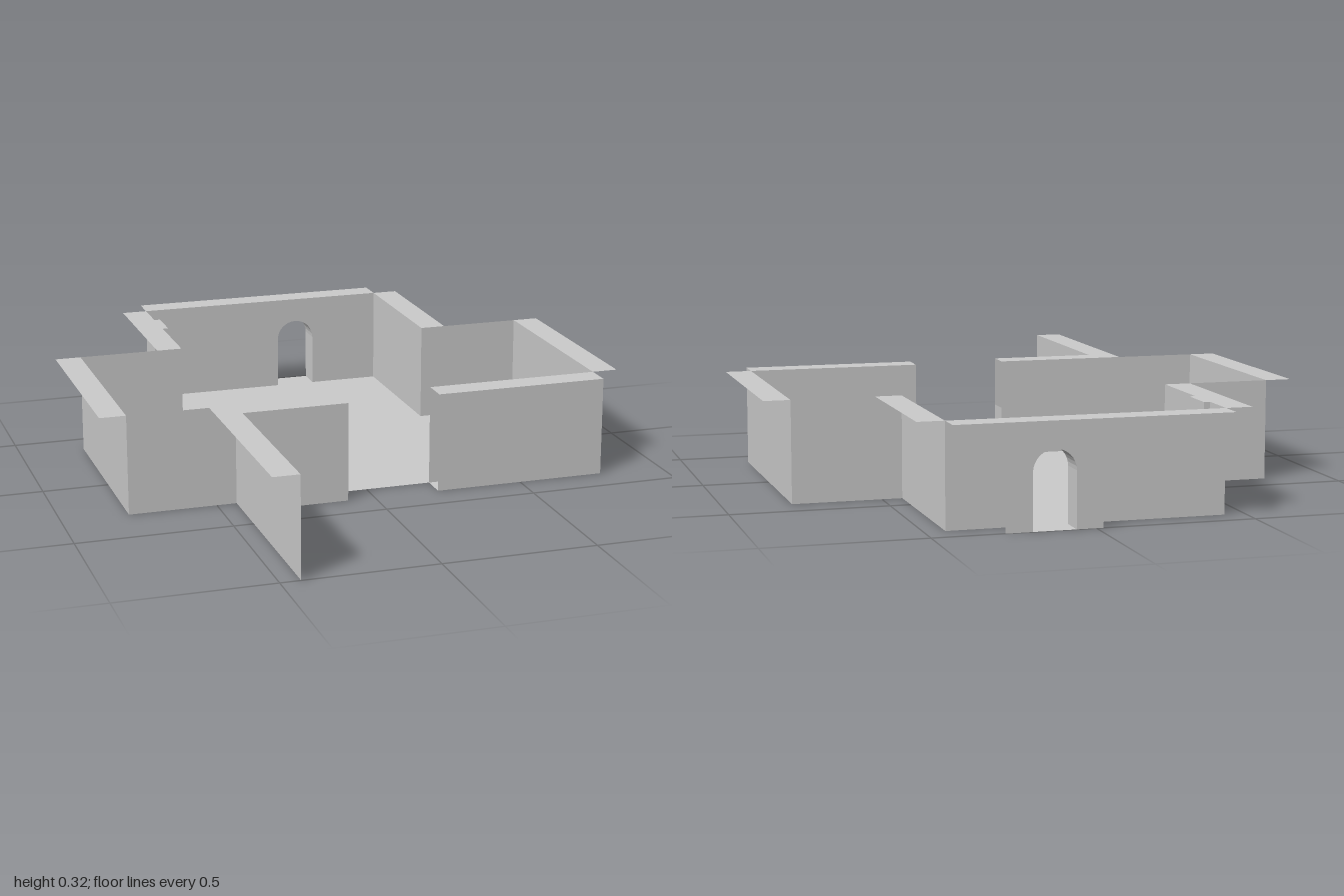
import * as THREE from 'three';

const H = 0.325, FRONT = 0.385, INNER = 0.3, BACK = -0.915, PORCH = -1;
const SIDE = 0.785, ROOM = 0.435, STEP = -0.39, LIP = 0.085;
const DOOR = { x: 0.128, r: 0.067, spring: 0.175 };

const material = new THREE.MeshStandardMaterial({
  color: 0xcccccc, side: THREE.DoubleSide, flatShading: true,
});

export function createModel() {
  const model = new THREE.Group();
  model.name = 'buildingShell';

  const add = (name, geometry) => {
    const mesh = new THREE.Mesh(geometry, material);
    mesh.name = name;
    model.add(mesh);
    return mesh;
  };

  // Thin upright wall following a plan path of [x, z] points
  const wall = (name, path, height = H) => {
    const pos = [], index = [];
    for (let i = 0; i < path.length - 1; i++) {
      const [ax, az] = path[i], [bx, bz] = path[i + 1], k = i * 4;
      pos.push(ax, 0, az, bx, 0, bz, bx, height, bz, ax, height, az);
      index.push(k, k + 1, k + 2, k, k + 2, k + 3);
    }
    const g = new THREE.BufferGeometry();
    g.setAttribute('position', new THREE.Float32BufferAttribute(pos, 3));
    g.setIndex(index);
    g.computeVertexNormals();
    add(name, g);
  };

  // Flat horizontal outline at height y, facing up
  const flat = (name, path, y = H) => {
    const shape = new THREE.Shape(path.map(([x, z]) => new THREE.Vector2(x, -z)));
    const g = new THREE.ShapeGeometry(shape);
    g.rotateX(-Math.PI / 2);
    g.translate(0, y, 0);
    add(name, g);
  };
  const ledge = (name, x0, x1, z0, z1, y = H) =>
    flat(name, [[x0, z0], [x0, z1], [x1, z1], [x1, z0]], y);

  // Arch outline, from the right foot over the top to the left foot
  const arch = [[DOOR.x + DOOR.r, 0]];
  for (let i = 0; i <= 16; i++) {
    const a = (i / 16) * Math.PI;
    arch.push([DOOR.x + DOOR.r * Math.cos(a), DOOR.spring + DOOR.r * Math.sin(a)]);
  }
  arch.push([DOOR.x - DOOR.r, 0]);

  // Upright panel with the doorway cut out of its lower edge
  const doorPanel = (name, x0, x1, z) => {
    const outline = [[x0, 0], [x0, H], [x1, H], [x1, 0], ...arch];
    const g = new THREE.ShapeGeometry(
      new THREE.Shape(outline.map(([x, y]) => new THREE.Vector2(x, y))));
    g.translate(0, 0, z);
    add(name, g);
  };

  // Shallow pier stepping into the back room
  const pier = [[-ROOM, -0.66], [-0.415, -0.66], [-0.415, -0.785], [-ROOM, -0.785]];
  const leftRoom = [[-ROOM, STEP], ...pier, [-ROOM, BACK]];

  // Floor
  flat('floor', [
    ...leftRoom, [ROOM, BACK], [ROOM, STEP], [SIDE, STEP], [SIDE, FRONT],
    [0.215, FRONT], [0.215, INNER], [-0.09, INNER], [-0.09, FRONT],
    [-ROOM, FRONT], [-ROOM, INNER], [-SIDE, INNER], [-SIDE, STEP],
  ].reverse(), 0);

  // Main hall and back room walls
  wall('rightWalls', [[-SIDE, INNER], [-SIDE, STEP], ...leftRoom]);
  wall('leftWalls', [[SIDE, FRONT], [SIDE, STEP], [ROOM, STEP], [ROOM, BACK]]);
  doorPanel('backWall', -ROOM, ROOM, BACK);

  // Front walls: inner and outer skins either side of the entrance
  wall('frontInnerWallRight', [[-SIDE, INNER], [-0.09, INNER]]);
  wall('frontOuterWallRight', [[-ROOM, FRONT], [-0.09, FRONT]]);
  wall('frontInnerWallLeft', [[0.215, INNER], [SIDE, INNER]]);
  wall('frontOuterWallLeft', [[0.215, FRONT], [SIDE, FRONT]]);
  wall('entranceJamb', [[-0.09, INNER], [-0.09, FRONT]], H / 2);
  wall('wingWall', [[-ROOM, INNER], [-ROOM, 1]]);

  // Back doorway: outer panel, arched passage and threshold
  doorPanel('doorOuterPanel', DOOR.x - 0.15, DOOR.x + 0.15, PORCH);
  const pos = [], index = [];
  arch.forEach(([x, y], i) => {
    pos.push(x, y, BACK, x, y, PORCH);
    if (i) {
      const k = i * 2;
      index.push(k - 2, k - 1, k, k, k - 1, k + 1);
    }
  });
  const passage = new THREE.BufferGeometry();
  passage.setAttribute('position', new THREE.Float32BufferAttribute(pos, 3));
  passage.setIndex(index);
  passage.computeVertexNormals();
  add('doorPassage', passage);
  ledge('doorThreshold', DOOR.x - DOOR.r, DOOR.x + DOOR.r, PORCH, BACK, 0);

  // Ledges along the wall tops
  ledge('sideLedgeRight', -SIDE - LIP, -SIDE, STEP, INNER);
  ledge('sideLedgeLeft', SIDE, SIDE + LIP, STEP, INNER);
  ledge('roomLedgeLeft', ROOM, ROOM + LIP, BACK, STEP);
  flat('roomLedgeRight', [
    [-ROOM - LIP, BACK], [-ROOM - LIP, STEP], ...leftRoom,
  ]);
  ledge('backLedge', -ROOM, ROOM, PORCH, BACK);
  ledge('frontLedgeRight', -ROOM, -0.09, INNER, FRONT);
  ledge('frontLedgeLeft', 0.215, SIDE, INNER, FRONT);
  ledge('wingLedge', -ROOM - LIP, -ROOM, INNER, 1);

  return model;
}
